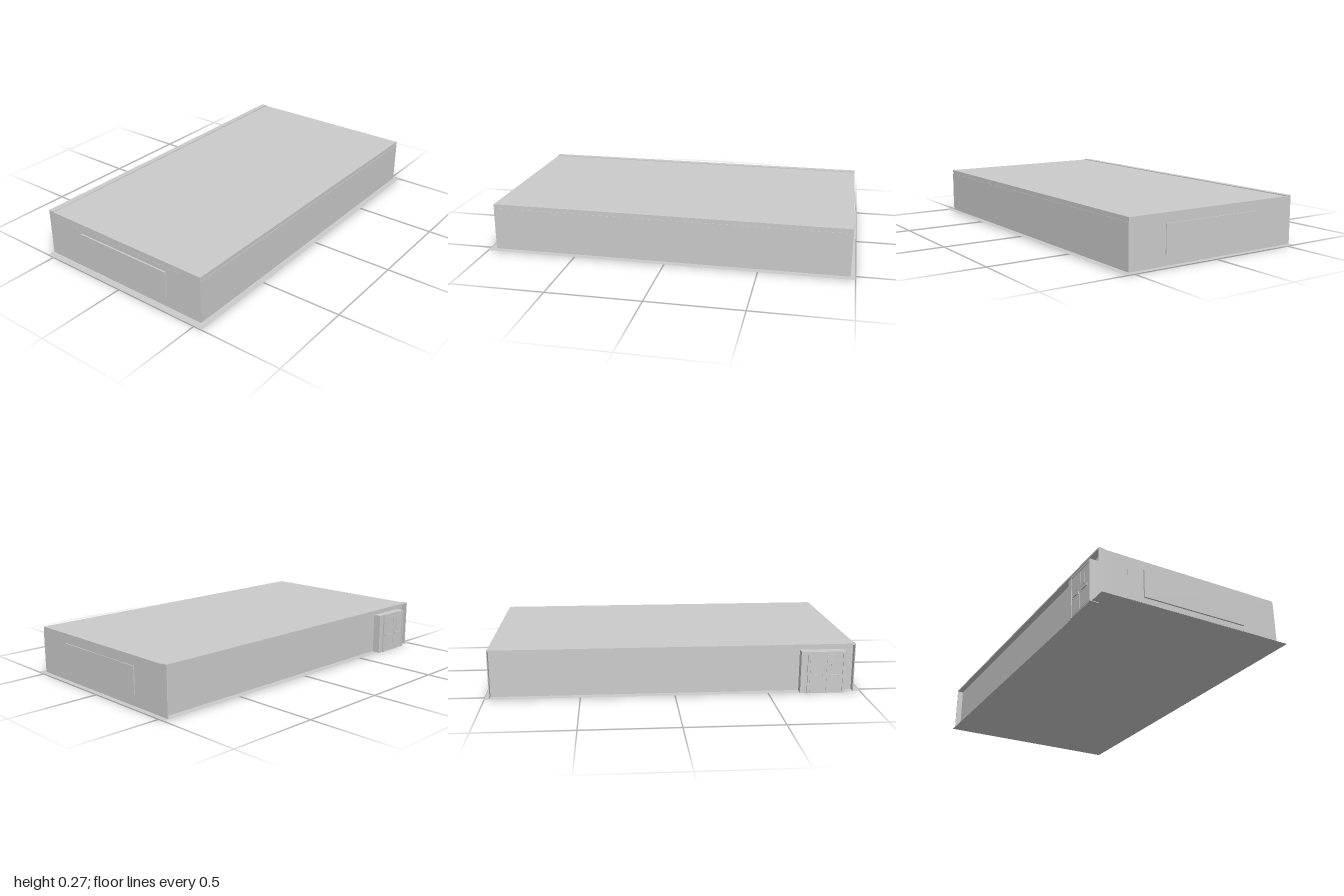
import * as THREE from 'three';

const material = new THREE.MeshStandardMaterial({ color: 0xcccccc, flatShading: true });
const thin = new THREE.MeshStandardMaterial({ color: 0xcccccc, side: THREE.DoubleSide });

// Box given by its lower and upper corners
function box(name, [x0, y0, z0], [x1, y1, z1]) {
  const mesh = new THREE.Mesh(new THREE.BoxGeometry(x1 - x0, y1 - y0, z1 - z0), material);
  mesh.name = name;
  mesh.position.set((x0 + x1) / 2, (y0 + y1) / 2, (z0 + z1) / 2);
  return mesh;
}

export function createModel() {
  const model = new THREE.Group();
  model.name = 'building';
  const L = -0.962, R = 0.975, back = -0.535, wall = -0.502, front = 0.515, floor = 0.004;

  // Ground slab
  const slab = new THREE.Mesh(new THREE.PlaneGeometry(2, 1.09).rotateX(-Math.PI / 2), thin);
  slab.name = 'groundSlab';
  slab.position.set(0, 0.003, 0.005);
  model.add(slab);

  // Main hall, with a shallow facing on the front
  model.add(box('hall', [L, floor, wall], [R, 0.263, front]));
  model.add(box('frontFacing', [L, 0.02, front], [R, 0.24, front + 0.002]));

  // Thin surround of the recessed back wall
  const t = 0.004;
  model.add(box('backEave', [L, 0.263 - t, back], [R, 0.267, wall]));
  model.add(box('backFinRight', [L, floor, back], [L + t, 0.263 - t, wall]));
  model.add(box('backFinLeft', [R - t, floor, back], [R, 0.263 - t, wall]));

  // Side panels, each on a flat backing
  for (const [side, face, depth] of [[-1, L, 0.01], [1, R, 0.005]]) {
    const panel = (name, d, y0, y1, z0, z1) => {
      const a = face, b = face + side * d;
      model.add(box(name, [Math.min(a, b), y0, z0], [Math.max(a, b), y1, z1]));
    };
    panel('sidePanel', depth, 0.06, 0.21, -0.29, 0.3);
    if (side < 0) panel('sidePanelBacking', 0.001, 0.03, 0.235, -0.38, 0.41);
  }

  // Entrance block on the back wall
  const entrance = new THREE.Group();
  entrance.name = 'entrance';
  const x0 = -0.905, x1 = -0.705, mid = (x0 + x1) / 2, zf = -0.548;
  entrance.add(box('entranceBlock', [x0, 0, zf], [x1, 0.23, wall]));
  entrance.add(box('entrancePier', [x1, 0, -0.545], [-0.67, 0.23, wall]));

  // Door frame
  const zo = -0.552;
  entrance.add(box('frameTop', [x0, 0.218, zo], [x1, 0.23, zf]));
  for (const x of [x0, x1 - 0.01])
    entrance.add(box('framePost', [x, 0, zo], [x + 0.01, 0.218, zf]));

  // Two leaves with a push bar and fittings
  for (const s of [-1, 1]) {
    const a = mid + s * 0.003, b = mid + s * 0.086;
    const lo = Math.min(a, b), hi = Math.max(a, b);
    entrance.add(box('doorLeaf', [lo, 0.006, -0.55], [hi, 0.212, zf]));
    entrance.add(box('pushBar', [lo + 0.012, 0.098, -0.556], [hi - 0.012, 0.105, -0.55]));
    for (const x of [lo + 0.01, hi - 0.018])
      entrance.add(box('barEnd', [x, 0.094, -0.555], [x + 0.008, 0.109, -0.55]));
  }
  // Narrow window beside the meeting edge
  entrance.add(box('doorWindow', [mid - 0.045, 0.125, -0.552], [mid - 0.025, 0.185, -0.55]));
  // Small plates on the other leaf
  for (const y of [0.13, 0.18])
    entrance.add(box('doorPlate', [mid + 0.03, y, -0.552], [mid + 0.05, y + 0.006, -0.55]));
  model.add(entrance);

  return model;
}
